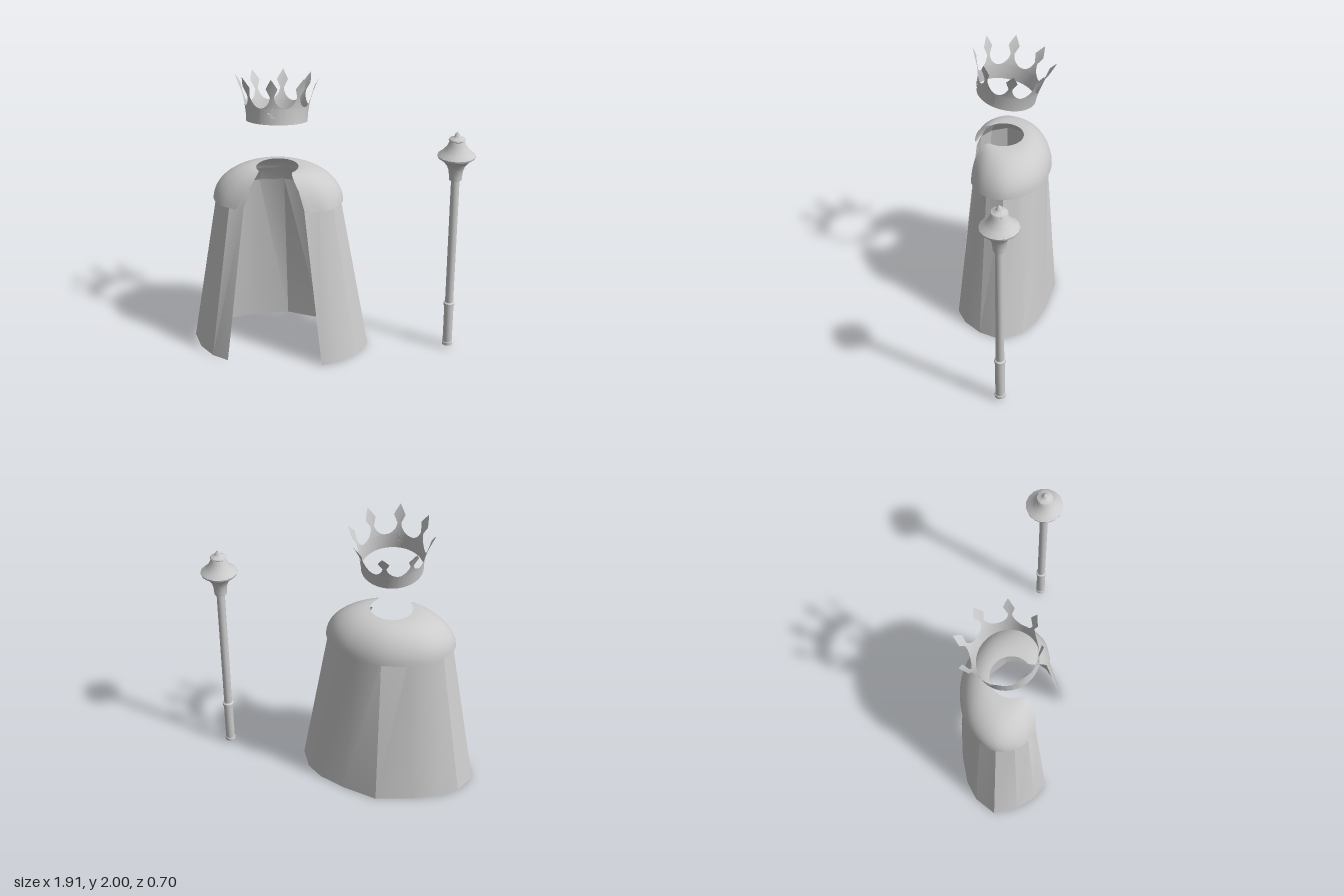
import * as THREE from 'three';
import { toCreasedNormals } from 'three/addons/utils/BufferGeometryUtils.js';

const V = (x, y, z) => new THREE.Vector3(x, y, z);
const material = new THREE.MeshStandardMaterial({ color: 0xcccccc, side: THREE.DoubleSide });

// Skin a grid of rows of points
function sheet(rows) {
  const n = rows[0].length, index = [];
  for (let i = 0; i < rows.length - 1; i++) {
    for (let j = 0; j < n - 1; j++) {
      const a = i * n + j, b = a + n;
      index.push(a, b, a + 1, a + 1, b, b + 1);
    }
  }
  const geometry = new THREE.BufferGeometry().setFromPoints(rows.flat());
  geometry.setIndex(index);
  geometry.computeVertexNormals();
  return geometry;
}

function part(name, geometry) {
  const mesh = new THREE.Mesh(geometry, material);
  mesh.name = name;
  return mesh;
}

// Complete a half outline that runs from the back to the front
const mirrored = (half) => [...half.slice(1).reverse().map(([x, z]) => [-x, z]), ...half];

// Long skirt of the cape, open at the front
function capeSkirt() {
  const hem = mirrored([[0, -0.355], [0.25, -0.29], [0.43, -0.215], [0.54, -0.125],
    [0.615, 0.025], [0.545, 0.18], [0.44, 0.29], [0.325, 0.345]]);
  const top = mirrored([[0, -0.275], [0.17, -0.245], [0.29, -0.185], [0.375, -0.1],
    [0.42, 0.015], [0.38, 0.13], [0.3, 0.2], [0.2, 0.225]]);
  const rows = [
    hem.map(([x, z]) => V(x, 0, z)),
    top.map(([x, z]) => V(x, 1.11, z)),
    top.map(([x, z]) => V(x * 0.8, 1.22, z * 0.8)),
  ];
  return part('capeSkirt', toCreasedNormals(sheet(rows), 0.4));
}

// Domed shoulder mantle with rounded front corners
function shoulderMantle() {
  const hem = new THREE.CatmullRomCurve3(mirrored([[0, -0.305], [0.17, -0.275], [0.31, -0.205],
    [0.4, -0.1], [0.437, 0.01], [0.42, 0.1], [0.36, 0.185], [0.25, 0.24]]).map(([x, z]) => V(x, 1.1, z)));
  const rows = [], columns = 48, steps = 12;
  for (let i = 0; i <= steps; i++) {
    const a = (i / steps) * Math.PI / 2, row = [];
    for (let j = 0; j <= columns; j++) {
      const t = (j / columns) * 2 - 1, edge = Math.abs(t) ** 6;
      const h = hem.getPoint(j / columns), angle = t * 2.25;
      const nx = 0.14 * Math.sin(angle), nz = 0.03 - 0.14 * Math.cos(angle);
      const fx = THREE.MathUtils.lerp(Math.sin(a), 1 - Math.cos(a), edge);
      row.push(V(nx + (h.x - nx) * fx, 1.1 + 0.23 * Math.cos(a), nz + (h.z - nz) * Math.sin(a)));
    }
    rows.push(row);
  }
  // Hem turned inwards
  rows.push(rows[steps].map((p) => V(p.x * 0.965, p.y - 0.003, p.z * 0.95)));
  return part('shoulderMantle', toCreasedNormals(sheet(rows), 0.9));
}

// Flared crown band with eight diamond-tipped points
const crownRadius = (h) => 0.2 + 0.08 * (h / 0.3) ** 2;

function crownPoint() {
  // Height and angular half width of each cross-section
  const sections = [[0, Math.PI / 8], [0.05, Math.PI / 8], [0.104, Math.PI / 8], [0.106, 0.32],
    [0.114, 0.24], [0.128, 0.16], [0.145, 0.105], [0.165, 0.068], [0.182, 0.055],
    [0.235, 0.15], [0.268, 0.075], [0.3, 0]];
  return sheet(sections.map(([h, w]) => {
    const row = [], r = crownRadius(h);
    for (let j = -5; j <= 5; j++) {
      const a = w * j / 5;
      row.push(V(r * Math.sin(a), h, r * Math.cos(a)));
    }
    return row;
  }));
}

// Leaf-shaped piece of the front ornament
function leaf(length, width) {
  const shape = new THREE.Shape();
  shape.moveTo(0, 0);
  shape.quadraticCurveTo(width, length * 0.6, 0, length);
  shape.quadraticCurveTo(-width, length * 0.6, 0, 0);
  return new THREE.ExtrudeGeometry(shape, { depth: 0.006, bevelEnabled: false, curveSegments: 5 });
}

function crown() {
  const group = new THREE.Group();
  group.name = 'crown';
  const geometry = crownPoint();
  for (let i = 0; i < 8; i++) {
    const point = part('crownPoint', geometry);
    point.rotation.y = i * Math.PI / 4;
    group.add(point);
  }
  const ornament = new THREE.Group();
  ornament.name = 'frontOrnament';
  ornament.add(part('centreLeaf', leaf(0.06, 0.018)));
  for (const s of [-1, 1]) {
    const upper = part('sideLeaf', leaf(0.045, 0.017));
    upper.rotation.z = s * 0.85;
    const lower = part('lowerLeaf', leaf(0.026, 0.01));
    lower.rotation.z = s * 2.6;
    ornament.add(upper, lower);
  }
  const clasp = part('clasp', new THREE.BoxGeometry(0.034, 0.009, 0.01));
  clasp.position.z = 0.003;
  ornament.add(clasp);
  ornament.position.set(0, 0.05, 0.203);
  ornament.rotation.x = 0.07;
  group.add(ornament);
  group.position.set(0, 1.65, 0.01);
  group.rotation.x = -0.19;
  return group;
}

// Sceptre turned from stacked profiles
function sceptre() {
  const group = new THREE.Group();
  group.name = 'sceptre';
  const turn = (name, profile) => {
    const geometry = new THREE.LatheGeometry(profile.map(([r, y]) => new THREE.Vector2(r, y)), 16);
    group.add(part(name, toCreasedNormals(geometry, 0.6)));
  };
  turn('endCap', [[0, 0.025], [0.036, 0.025], [0.036, 0.046], [0.03, 0.05]]);
  turn('handle', [[0.032, 0.045], [0.032, 0.335]]);
  turn('collar', [[0.03, 0.335], [0.038, 0.338], [0.038, 0.355], [0.028, 0.362]]);
  turn('shaft', [[0.028, 0.355], [0.028, 1.29]]);
  turn('head', [[0, 1.28], [0.042, 1.28], [0.043, 1.305], [0.048, 1.345], [0.06, 1.378],
    [0.083, 1.41], [0.122, 1.44], [0.125, 1.453], [0.095, 1.477], [0.07, 1.505],
    [0.055, 1.535], [0.048, 1.553], [0.056, 1.56], [0.052, 1.568], [0.026, 1.578],
    [0.018, 1.588], [0.013, 1.603], [0, 1.615]]);
  group.position.set(0.832, 0, 0.01);
  return group;
}

export function createModel() {
  const model = new THREE.Group();
  const regalia = new THREE.Group();
  regalia.name = 'capeAndCrown';
  regalia.position.x = -0.342;
  regalia.add(capeSkirt(), shoulderMantle(), crown());
  model.add(regalia, sceptre());
  return model;
}
